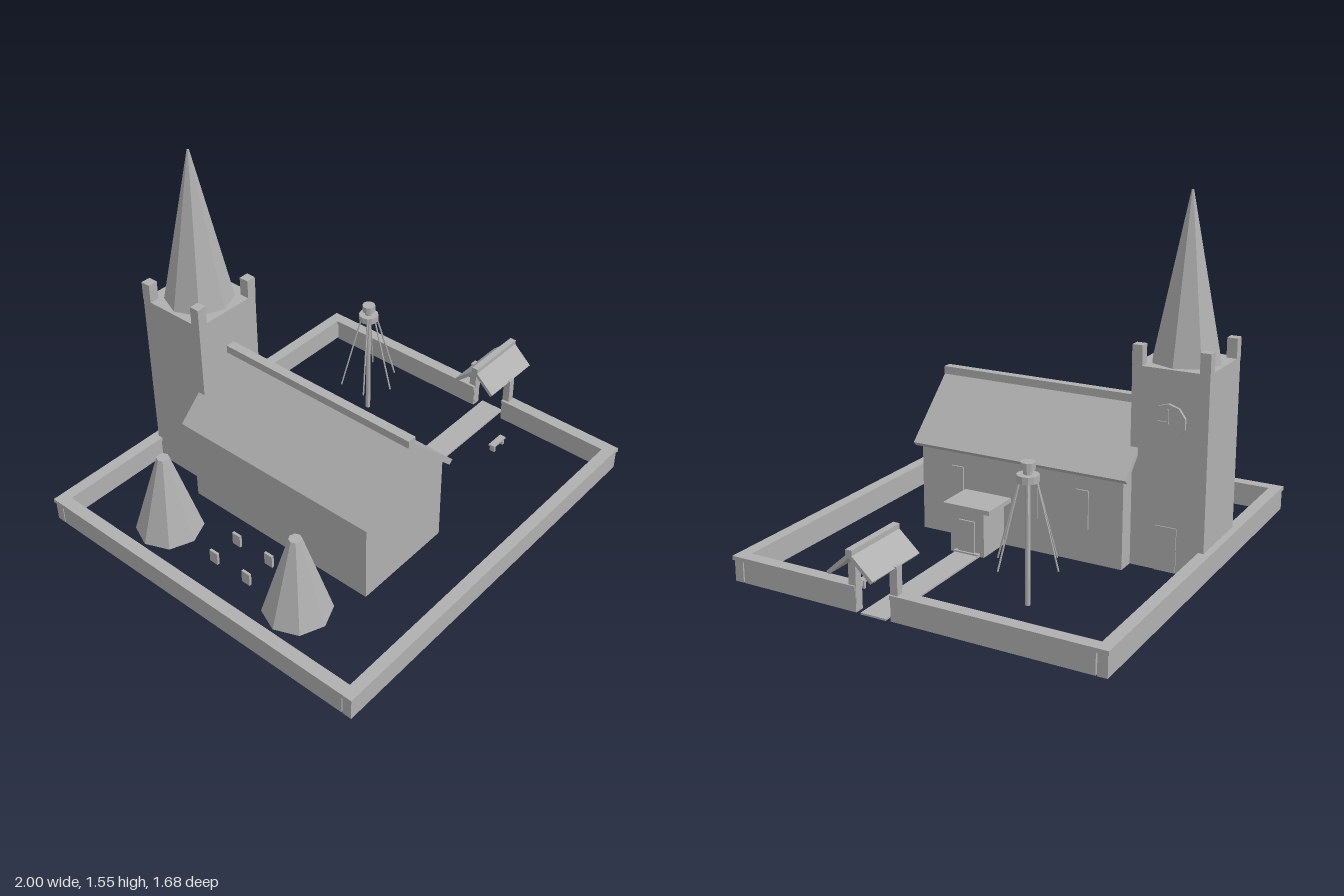
import * as THREE from 'three';

export function createModel() {
  const root = new THREE.Group();
  const stone = new THREE.MeshStandardMaterial({ color: 0xb0b0b0, flatShading: true });
  stone.name = 'grey stone';

  const add = (name, geometry, parent = root) => {
    const mesh = new THREE.Mesh(geometry, stone);
    mesh.name = name;
    parent.add(mesh);
    return mesh;
  };
  const group = (name, x = 0, y = 0, z = 0) => {
    const g = new THREE.Group();
    g.name = name;
    g.position.set(x, y, z);
    root.add(g);
    return g;
  };
  // Box given by its limits on each axis
  const box = (name, x0, x1, y0, y1, z0, z1, parent = root) => {
    const m = add(name, new THREE.BoxGeometry(x1 - x0, y1 - y0, z1 - z0), parent);
    m.position.set((x0 + x1) / 2, (y0 + y1) / 2, (z0 + z1) / 2);
    return m;
  };
  // Tapered round part standing from y0 to y1
  const cone = (name, rTop, rBottom, y0, y1, sides, parent) => {
    const m = add(name, new THREE.CylinderGeometry(rTop, rBottom, y1 - y0, sides), parent);
    m.position.y = (y0 + y1) / 2;
    return m;
  };
  // Extruded outline, centred along its length
  const prism = (name, points, length, parent) => {
    const shape = new THREE.Shape(points.map(p => new THREE.Vector2(...p)));
    const geo = new THREE.ExtrudeGeometry(shape, { depth: length, bevelEnabled: false });
    return add(name, geo.translate(0, 0, -length / 2), parent);
  };
  // Two-sided roof of constant thickness
  const roof = (name, half, eave, peak, t, length, parent) => {
    const rise = peak - eave;
    const len = Math.hypot(half, rise);
    const nx = t * rise / len, ny = t * half / len;
    const drop = t * len / half;
    return prism(name, [
      [-half, eave], [-half + nx, eave - ny], [0, peak - drop],
      [half - nx, eave - ny], [half, eave], [0, peak]
    ], length, parent);
  };

  // Churchyard wall with an overhanging coping and a gap for the gate
  const wall = group('boundaryWall');
  const runs = [
    [-1, 0.865, 0.787, 0.84], [-1, 0.865, -0.84, -0.787],
    [-1, -0.945, -0.787, 0.787],
    [0.81, 0.865, -0.787, 0.075], [0.81, 0.865, 0.235, 0.787]
  ];
  for (const [x0, x1, z0, z1] of runs) {
    const long = x1 - x0 > z1 - z0;
    const a = 0.006;
    const ix = a, iz = long ? a : 0;
    box('wallRun', x0 + ix, x1 - ix, 0, 0.092, z0 + iz, z1 - iz, wall);
    box('wallCoping', x0, x1, 0.092, 0.11, z0, z1, wall);
  }

  // Nave: gabled body, roof and ridge
  const nave = group('nave', -0.245, 0, 0);
  prism('naveBody', [[-0.245, 0], [0.245, 0], [0.245, 0.4], [0, 0.635], [-0.245, 0.4]], 0.97, nave);
  roof('naveRoof', 0.28, 0.405, 0.672, 0.025, 1.02, nave);
  box('naveRidge', -0.021, 0.021, 0.655, 0.69, -0.51, 0.51, nave);
  for (const z of [0.305, -0.06, -0.3]) {
    box('naveWindow', 0.24, 0.252, 0.15, 0.32, z - 0.03, z + 0.03, nave);
  }

  // Tower with corner pinnacles and an eight-sided spire
  const tower = group('tower', -0.247, 0, -0.643);
  box('towerBody', -0.167, 0.167, 0, 0.86, -0.167, 0.167, tower);
  for (const sx of [-1, 1]) for (const sz of [-1, 1]) {
    const p = box('pinnacle', -0.0225, 0.0225, 0.86, 0.945, -0.0225, 0.0225, tower);
    p.position.x = sx * 0.1455;
    p.position.z = sz * 0.1455;
  }
  cone('spire', 0.005, 0.15, 0.86, 1.555, 8, tower);
  box('towerDoor', 0.16, 0.172, 0, 0.195, -0.047, 0.047, tower);

  // Clock on the side of the tower
  const dial = add('clockFace', new THREE.CylinderGeometry(0.077, 0.077, 0.014, 10), tower);
  dial.rotation.set(Math.PI / 2, 0, Math.PI / 2);
  dial.position.set(0.173, 0.645, 0);
  box('minuteHand', 0.18, 0.186, 0.64, 0.7, -0.004, 0.004, tower);
  box('hourHand', 0.18, 0.186, 0.64, 0.648, 0, 0.042, tower);

  // Flat-roofed porch and the path to the gate
  const porch = group('porch');
  box('porchBody', 0, 0.17, 0, 0.2, 0.075, 0.238, porch);
  box('porchRoof', 0, 0.183, 0.2, 0.22, 0.04, 0.268, porch);
  box('porchDoor', 0.165, 0.178, 0.015, 0.155, 0.118, 0.196, porch);
  box('porchStep', 0.17, 0.187, 0, 0.015, 0.095, 0.215, porch);
  box('path', 0.17, 0.865, 0, 0.008, 0.095, 0.21);

  // Roofed gate with two posts
  const gate = group('coveredGate', 0.845, 0, 0.155);
  roof('gateRoof', 0.105, 0.222, 0.317, 0.016, 0.31, gate).rotation.y = Math.PI / 2;
  box('gateRidge', -0.155, 0.155, 0.306, 0.327, -0.015, 0.015, gate);
  for (const s of [-1, 1]) {
    const post = box('gatePost', -0.022, 0.012, 0, 0.228, -0.017, 0.017, gate);
    post.position.z = s * 0.096;
  }

  // Pole with six sloping arms
  const pole = group('armedPole', 0.478, 0, -0.307);
  cone('poleShaft', 0.011, 0.011, 0, 0.56, 8, pole);
  cone('poleHub', 0.045, 0.045, 0.51, 0.54, 12, pole);
  cone('poleNeck', 0.018, 0.018, 0.54, 0.562, 10, pole);
  cone('poleCap', 0.03, 0.03, 0.56, 0.59, 10, pole);
  const up = new THREE.Vector3(0, 1, 0);
  for (let i = 0; i < 6; i++) {
    const a = Math.PI / 2 + i * Math.PI / 3;
    const top = new THREE.Vector3(0.038 * Math.cos(a), 0.515, 0.038 * Math.sin(a));
    const end = new THREE.Vector3(0.134 * Math.cos(a), 0.17, 0.134 * Math.sin(a));
    const dir = top.clone().sub(end);
    const arm = add('poleArm', new THREE.CylinderGeometry(0.004, 0.004, dir.length(), 6), pole);
    arm.position.copy(top).add(end).multiplyScalar(0.5);
    arm.quaternion.setFromUnitVectors(up, dir.normalize());
  }

  // Clipped trees
  for (const z of [-0.37, 0.36]) {
    const tree = group('tree', -0.762, 0, z);
    cone('treeTrunk', 0.02, 0.02, 0, 0.08, 8, tree);
    cone('treeCrown', 0.027, 0.145, 0.07, 0.45, 8, tree);
  }

  // Gravestones
  for (const x of [-0.745, -0.61]) for (const z of [-0.125, 0.06]) {
    box('gravestone', x - 0.006, x + 0.006, 0, 0.06, z - 0.022, z + 0.022);
  }

  // Bench
  const bench = group('bench', 0.63, 0, 0.345);
  box('benchSeat', -0.046, 0.046, 0.028, 0.038, -0.015, 0.015, bench);
  for (const x of [-0.034, 0.034]) {
    box('benchLeg', x - 0.006, x + 0.006, 0, 0.028, -0.012, 0.012, bench);
  }

  return root;
}
